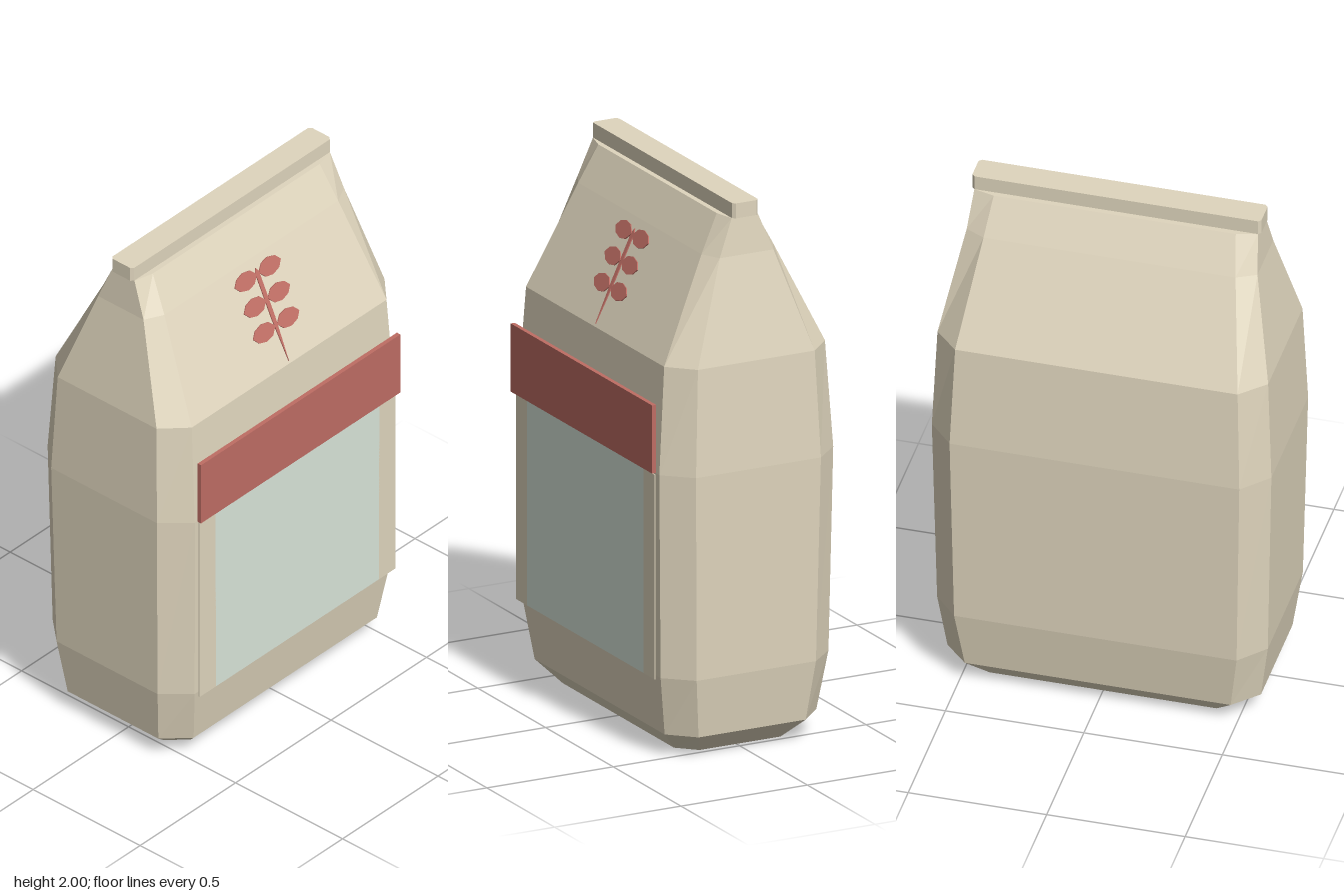
import * as THREE from 'three';

const paper = new THREE.MeshStandardMaterial({ color: 0xdfd5bd });
paper.name = 'paper';
const red = new THREE.MeshStandardMaterial({ color: 0xbe6d64 });
red.name = 'red';
const glass = new THREE.MeshStandardMaterial({ color: 0xd8e4d9 });
glass.name = 'window';

const CENTRE_Z = -0.014;

// Body sections: height, outer half width, front face half width, half depth, side face half depth
const SECTIONS = [
  [0, 0.476, 0.41, 0.226, 0.16],
  [0.08, 0.566, 0.48, 0.3, 0.212],
  [0.3, 0.597, 0.51, 0.332, 0.236],
  [1.05, 0.613, 0.523, 0.344, 0.247],
  [1.44, 0.597, 0.51, 0.318, 0.231],
  [1.81, 0.525, 0.455, 0.141, 0.106],
  [1.945, 0.512, 0.437, 0.071, 0.052],
];

function add(parent, name, geometry, material, x = 0, y = 0, z = 0) {
  const mesh = new THREE.Mesh(geometry, material);
  mesh.name = name;
  mesh.position.set(x, y, z);
  parent.add(mesh);
  return mesh;
}

// Eight-sided loft with capped ends and flat faces
function loft(sections) {
  const rings = sections.map(([y, ox, ix, hz, sz]) => [
    [ix, hz], [ox, sz], [ox, -sz], [ix, -hz],
    [-ix, -hz], [-ox, -sz], [-ox, sz], [-ix, hz],
  ].map(([x, z]) => [x, y, z]));
  const pos = [];
  const tri = (a, b, c) => pos.push(...a, ...b, ...c);
  for (let r = 0; r < rings.length - 1; r++) {
    const low = rings[r], high = rings[r + 1];
    for (let i = 0; i < 8; i++) {
      const j = (i + 1) % 8;
      tri(low[i], low[j], high[j]);
      tri(low[i], high[j], high[i]);
    }
  }
  const bottom = rings[0], top = rings[rings.length - 1];
  for (let i = 1; i < 7; i++) {
    tri(bottom[0], bottom[i + 1], bottom[i]);
    tri(top[0], top[i], top[i + 1]);
  }
  const geometry = new THREE.BufferGeometry();
  geometry.setAttribute('position', new THREE.Float32BufferAttribute(pos, 3));
  geometry.computeVertexNormals();
  return geometry;
}

function plate(points) {
  const shape = new THREE.Shape(points.map(([x, y]) => new THREE.Vector2(x, y)));
  return new THREE.ExtrudeGeometry(shape, { depth: 0.004, bevelEnabled: false });
}

export function createModel() {
  const model = new THREE.Group();
  model.name = 'paperBag';

  add(model, 'bagBody', loft(SECTIONS), paper, 0, 0, CENTRE_Z);

  // Folded strip closing the top, with clipped corners
  add(model, 'topSeal', loft([
    [1.945, 0.522, 0.512, 0.051, 0.041],
    [2, 0.522, 0.512, 0.051, 0.041],
  ]), paper, 0, 0, CENTRE_Z);

  // Label band, window and the paper borders beside it
  add(model, 'labelBand', new THREE.BoxGeometry(1.044, 0.25, 0.016), red, 0, 1.185, 0.35);
  add(model, 'window', new THREE.BoxGeometry(0.858, 0.75, 0.003), glass, 0, 0.675, 0.3415);
  for (const side of [-1, 1]) {
    add(model, side > 0 ? 'leftWindowBorder' : 'rightWindowBorder',
      new THREE.BoxGeometry(0.085, 0.75, 0.004), paper, side * 0.47, 0.675, 0.341);
  }

  // Plant emblem lying on the upper front slope
  const lower = SECTIONS[4], upper = SECTIONS[5];
  const rise = upper[0] - lower[0], run = lower[3] - upper[3];
  const stretch = Math.hypot(rise, run) / rise;
  const emblem = new THREE.Group();
  emblem.name = 'plantEmblem';
  emblem.position.set(0, lower[0], CENTRE_Z + lower[3]);
  emblem.rotation.x = -Math.atan2(run, rise);
  model.add(emblem);

  const along = (y) => (y - lower[0]) * stretch;
  add(emblem, 'stem', plate([
    [0, along(1.45)], [0.009, along(1.6)], [0.009, along(1.76)],
    [0, along(1.775)], [-0.009, along(1.76)], [-0.009, along(1.6)],
  ]), red, 0, 0, 0.001);

  const h = 0.03 * stretch;
  const leafHalf = [[0.005, 0], [0.03, -0.8], [0.065, -1], [0.1, -0.7], [0.12, 0],
    [0.1, 0.7], [0.065, 1], [0.03, 0.8]];
  for (const y of [1.575, 1.665, 1.755]) {
    for (const side of [-1, 1]) {
      add(emblem, 'leaf', plate(leafHalf.map(([x, t]) => [side * x, along(y) + t * h])),
        red, 0, 0, 0.002);
    }
  }
  return model;
}
